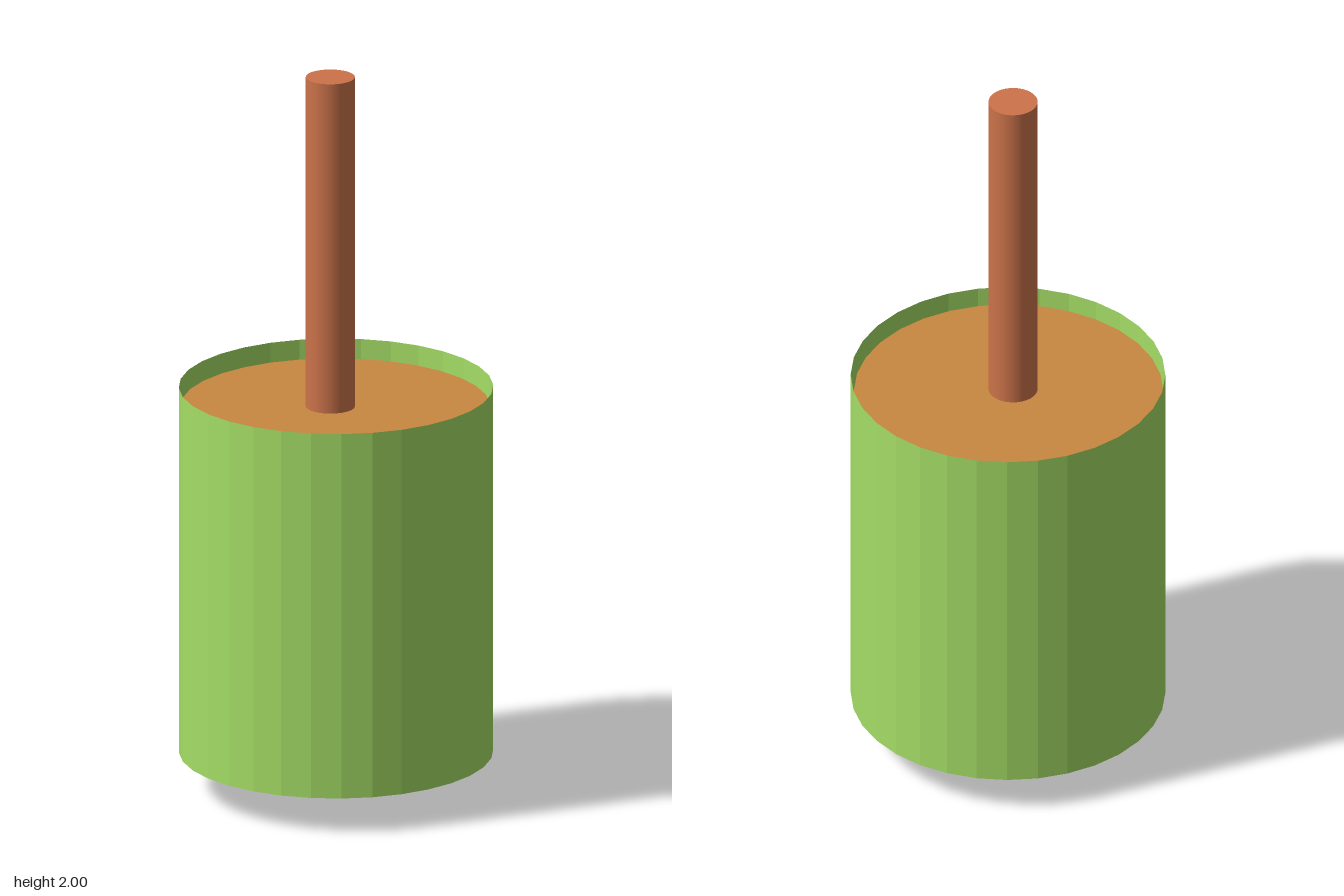
import * as THREE from 'three';

export function createModel() {
  const model = new THREE.Group();

  const add = (name, geometry, color, pos, options = {}) => {
    const material = new THREE.MeshStandardMaterial({ color, ...options });
    const mesh = new THREE.Mesh(geometry, material);
    mesh.name = name;
    mesh.position.set(...pos);
    model.add(mesh);
  };

  const sides = 32;
  const bottom = 0.1, rim = 1.126, fillTop = 1.073;
  const radius = 0.422;
  const green = 0xa5de66;
  const faceted = { flatShading: true };
  const thin = { flatShading: true, side: THREE.DoubleSide };

  // Thin open-topped cup with a closed floor
  add('cupWall', new THREE.CylinderGeometry(radius, radius, rim - bottom, sides, 1, true),
    green, [0, (rim + bottom) / 2, 0], thin);
  add('cupFloor', new THREE.CircleGeometry(radius, sides).rotateX(Math.PI / 2),
    green, [0, bottom, 0], thin);

  // Filling, just below the rim and a touch off centre
  const fillBottom = bottom + 0.01;
  add('filling', new THREE.CylinderGeometry(0.415, 0.415, fillTop - fillBottom, sides),
    0xc88840, [0, (fillTop + fillBottom) / 2, 0.003], faceted);

  // Stick running through the cup and out below
  add('stick', new THREE.CylinderGeometry(0.066, 0.066, 2, sides),
    0xcc734a, [-0.005, 1, 0.017]);

  return model;
}
